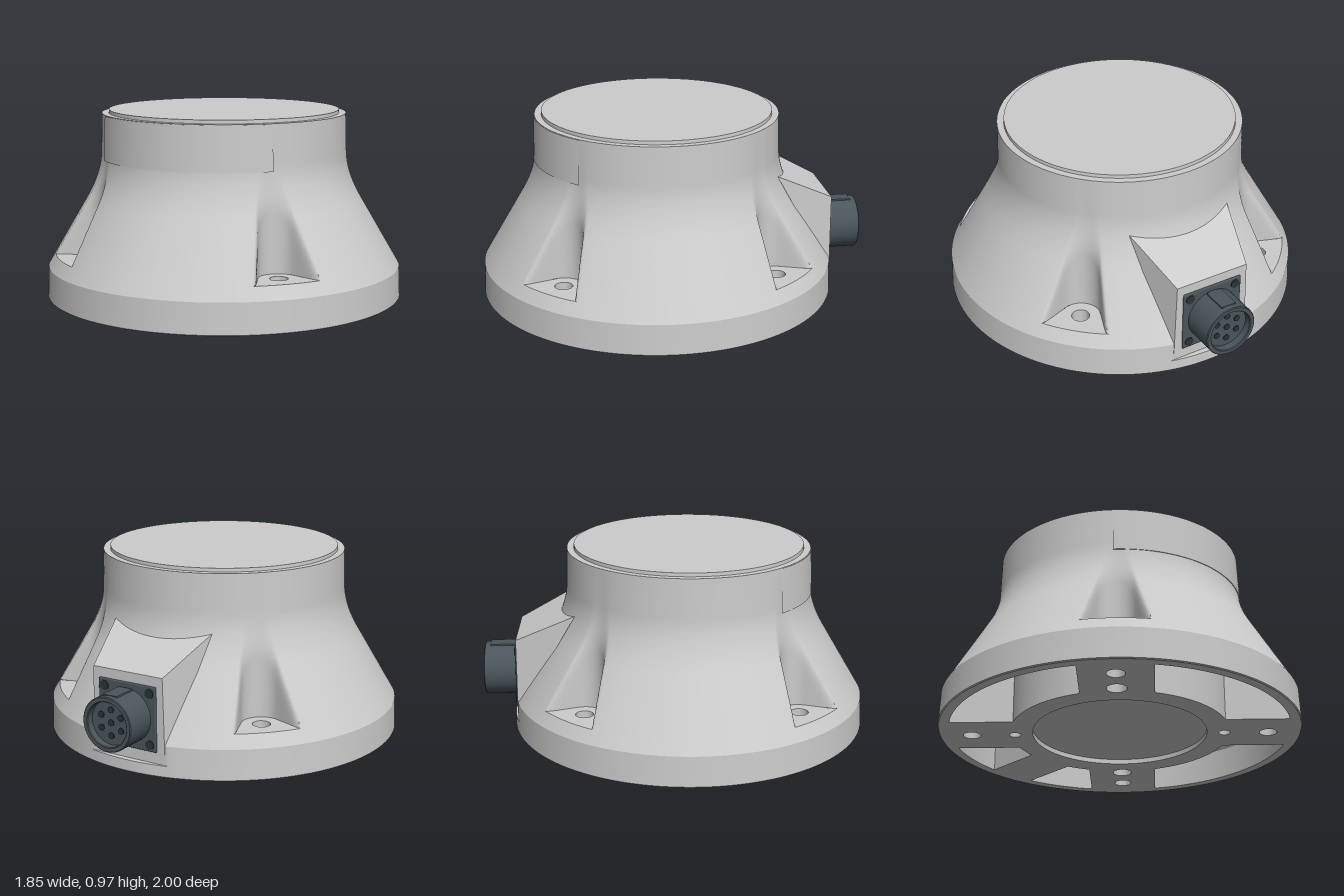
import * as THREE from 'three';
import { toCreasedNormals } from 'three/addons/utils/BufferGeometryUtils.js';
import { RoundedBoxGeometry } from 'three/addons/geometries/RoundedBoxGeometry.js';

const CZ = 0.075;            // centre of the round body
const FLOOR = 0.225;         // height of the screw pocket floors
const HOLE_R = 0.757;        // radius of the screw circle
const grey = new THREE.MeshStandardMaterial({ color: 0xcccccc });
const dark = new THREE.MeshStandardMaterial({ color: 0x4a565b });
const darker = new THREE.MeshStandardMaterial({ color: 0x2c3437 });

function add(parent, name, geometry, material, x = 0, y = 0, z = 0) {
  const mesh = new THREE.Mesh(geometry, material);
  mesh.name = name;
  mesh.position.set(x, y, z);
  parent.add(mesh);
}

const polar = (r, a, y) => [r * Math.sin(a), y, r * Math.cos(a)];

// Skin between closed rows of points: rising rows face out, falling rows face in
function loft(rows, crease = 0.5) {
  const n = rows[0].length, index = [];
  for (let j = 0; j < rows.length - 1; j++) {
    for (let i = 0; i < n; i++) {
      const k = (i + 1) % n, a = j * n + i, b = j * n + k;
      index.push(a, b, b + n, a, b + n, a + n);
    }
  }
  const g = new THREE.BufferGeometry();
  g.setAttribute('position', new THREE.Float32BufferAttribute(rows.flat(2), 3));
  g.setIndex(index);
  return toCreasedNormals(g, crease);
}

// Flat horizontal face from [x, y, z] points, looking up or down
function flat(points, holes, up) {
  const s = up ? -1 : 1;
  const to2 = (list) => list.map(([x, , z]) => new THREE.Vector2(x, s * z));
  const shape = new THREE.Shape(to2(points));
  shape.holes = holes.map((h) => new THREE.Path(to2(h)));
  return new THREE.ShapeGeometry(shape).rotateX(s * Math.PI / 2);
}

function circle(r, cx = 0, cz = 0, n = 32, y = 0) {
  return Array.from({ length: n }, (_, i) => {
    const [x, , z] = polar(r, (i / n) * Math.PI * 2, 0);
    return [x + cx, y, z + cz];
  });
}

// Inner wall of a round hole that opens downwards
const bore = (r, depth, n = 32) => loft([circle(r, 0, 0, n, depth), circle(r, 0, 0, n)]);

// Bell outline: rim, cone, blend, collar
function profileR(y) {
  if (y < 0.16) return 0.925 - 0.04 * y;
  if (y < 0.5) return 0.9186 - (y - 0.16) * 0.584;
  if (y > 0.75) return 0.637 - (y - 0.75) * 0.03;
  const t = (y - 0.5) / 0.25, t2 = t * t, t3 = t2 * t;
  return 0.72 * (2 * t3 - 3 * t2 + 1) - 0.146 * (t3 - 2 * t2 + t)
    + 0.637 * (3 * t2 - 2 * t3) - 0.0075 * (t3 - t2);
}

// Plan of a screw pocket: round end with flaring sides, phi measured from its axis
function pocketR(phi) {
  const p = Math.abs(phi), flare = 0.436;
  if (p < 0.126) return HOLE_R * Math.cos(p) - Math.sqrt(0.01 - (HOLE_R * Math.sin(p)) ** 2);
  return p < 0.3 ? 0.22 / Math.sin(flare - p) : 9;
}

// Bell radius with the pockets cut in and their rims rounded
function bodyR(a, y) {
  const quarter = Math.PI / 2;
  const phi = a - (Math.floor(a / quarter) + 0.5) * quarter;
  const r = profileR(y), w = pocketR(phi), k = 0.045;
  const h = Math.max(k - Math.abs(r - w), 0) / k;
  return Math.min(r, w) - h * h * k / 4;
}

// Flat cut at the back for the connector
const flatCut = (r, a) => (Math.cos(a) < -0.5 ? Math.min(r, -0.895 / Math.cos(a)) : r);

// Hollow between two spokes; part -1 or 1 is the half beside a middle rib, 0 the whole
function hollowOutline(rOut, y, turn, part) {
  const n = 20, pts = [];
  const arc = (r, reverse) => {
    const half = Math.PI / 4 - Math.asin(0.18 / r), rib = Math.asin(0.13 / r);
    const lo = part > 0 ? rib : -half, hi = part < 0 ? -rib : half;
    for (let i = 0; i <= n; i++) {
      const t = (reverse ? n - i : i) / n;
      pts.push(polar(r, turn + lo + (hi - lo) * t, y));
    }
  };
  arc(rOut, false);
  arc(0.56, true);
  return pts;
}

function buildBody() {
  const body = new THREE.Group();
  body.name = 'body';
  body.position.z = CZ;
  const N = 600;
  const row = (y, f) => Array.from({ length: N }, (_, i) => {
    const a = (i / N) * Math.PI * 2;
    return polar(f(a), a, y);
  });

  // Base rim up to the pocket floors
  add(body, 'baseRim', loft([
    row(0, () => 0.92), row(0.005, () => 0.925), row(0.06, () => profileR(0.06)),
    ...[0.061, 0.16, 0.19, FLOOR].map((y) => row(y, (a) => flatCut(profileR(y), a))),
  ], 0.4), grey);

  // Bell with scooped pockets, collar and top
  const rows = [];
  for (let i = 0; i <= 36; i++) {
    const y = FLOOR + (0.76 - FLOOR) * i / 36;
    rows.push(row(y, (a) => bodyR(a, y)));
  }
  rows.push(row(0.95, () => 0.631), row(0.95, () => 0.58));
  add(body, 'bell', loft(rows, 0.9), grey);
  add(body, 'lid', new THREE.CylinderGeometry(0.595, 0.597, 0.03, 96), grey, 0, 0.953);
  add(body, 'frontPanel',
    new THREE.CylinderGeometry(0.634, 0.643, 0.227, 48, 1, false, -0.81, 1.62), grey, 0, 0.8335);

  const bottomHoles = [circle(0.445, 0, 0, 96)];
  for (let q = 0; q < 4; q++) {
    const a = Math.PI / 4 + q * Math.PI / 2;

    // Pocket floor with its through hole
    const inner = [], outer = [];
    for (let i = -24; i <= 24; i++) {
      const t = a + i * 0.22 / 24;
      inner.push(polar(bodyR(t, FLOOR), t, FLOOR));
      outer.unshift(polar(profileR(FLOOR), t, FLOOR));
    }
    const [hx, , hz] = polar(HOLE_R, a, 0);
    add(body, 'pocketFloor', flat([...inner, ...outer], [circle(0.045, hx, hz)], true), grey, 0, FLOOR);
    add(body, 'screwHole', bore(0.045, FLOOR), grey, hx, 0, hz);
    bottomHoles.push(circle(0.045, hx, hz));

    // Blind holes nearer the hub, larger on one diagonal
    const big = q % 2 === 1, br = big ? 0.05 : 0.03;
    const [bx, , bz] = polar(big ? 0.585 : 0.535, a, 0);
    add(body, 'blindHole', bore(br, 0.12), grey, bx, 0, bz);
    add(body, 'blindHoleEnd', flat(circle(br), [], false), grey, bx, 0.12, bz);
    bottomHoles.push(circle(br, bx, bz));

    // Hollows between the spokes, with a rib below the connector
    const side = q * Math.PI / 2;
    for (const part of q === 2 ? [-1, 1] : [0]) {
      const steps = [[0.66, 0.5], [0.87, 0.16], [0.87, 0]];
      add(body, 'hollowWall', loft(steps.map(([r, y]) => hollowOutline(r, y, side, part))), grey);
      add(body, 'hollowCeiling', flat(hollowOutline(0.66, 0, side, part), [], false), grey, 0, 0.5);
      bottomHoles.push(hollowOutline(0.87, 0, side, part));
    }
  }
  add(body, 'underside', flat(circle(0.92, 0, 0, 240), bottomHoles, false), grey);
  add(body, 'hubRecessWall', bore(0.445, 0.025, 96), grey);
  add(body, 'hubRecess', flat(circle(0.445, 0, 0, 96), [], false), grey, 0, 0.025);
  return body;
}

// Sloped housing that carries the connector
function buildHousing() {
  const g = new THREE.BufferGeometry();
  const z = -0.822;
  g.setAttribute('position', new THREE.Float32BufferAttribute([
    0.2, 0.5, z, -0.2, 0.5, z, 0.21, 0.1, z, -0.21, 0.1, z, 0.285, 0.655, -0.51, -0.285, 0.655, -0.51,
  ], 3));
  g.setIndex([0, 1, 5, 0, 5, 4, 0, 2, 3, 0, 3, 1, 0, 4, 2, 1, 3, 5]);
  return toCreasedNormals(g, 0.3);
}

function buildConnector() {
  const c = new THREE.Group();
  c.name = 'connector';
  c.position.set(0, 0.285, -0.82);
  c.rotation.y = Math.PI;
  const rod = (r, h, n = 24) => new THREE.CylinderGeometry(r, r, h, n).rotateX(Math.PI / 2);
  add(c, 'flange', new RoundedBoxGeometry(0.33, 0.33, 0.024, 3, 0.006), dark);

  // Hollow barrel with a recessed insert
  const profile = [[0.138, 0], [0.138, 0.176], [0.134, 0.18], [0.116, 0.18], [0.112, 0.176],
    [0.112, 0.14], [0, 0.14]].map(([x, y]) => new THREE.Vector2(x, y));
  add(c, 'barrel', toCreasedNormals(new THREE.LatheGeometry(profile, 48).rotateX(Math.PI / 2), 0.5), dark);
  add(c, 'key', new THREE.BoxGeometry(0.08, 0.02, 0.13), dark, 0, 0.13, 0.085);
  for (let i = 0; i < 7; i++) {
    const a = i * Math.PI / 3, r = i < 6 ? 0.065 : 0;
    add(c, 'contact', rod(0.016, 0.012, 16), darker, r * Math.sin(a), r * Math.cos(a), 0.14);
  }
  for (const x of [-0.13, 0.13]) {
    for (const y of [-0.13, 0.13]) add(c, 'flangeScrew', rod(0.024, 0.02), darker, x, y, 0.006);
  }
  return c;
}

export function createModel() {
  const model = new THREE.Group();
  model.name = 'mountingBase';
  model.add(buildBody());
  add(model, 'connectorHousing', buildHousing(), grey);
  model.add(buildConnector());
  return model;
}
